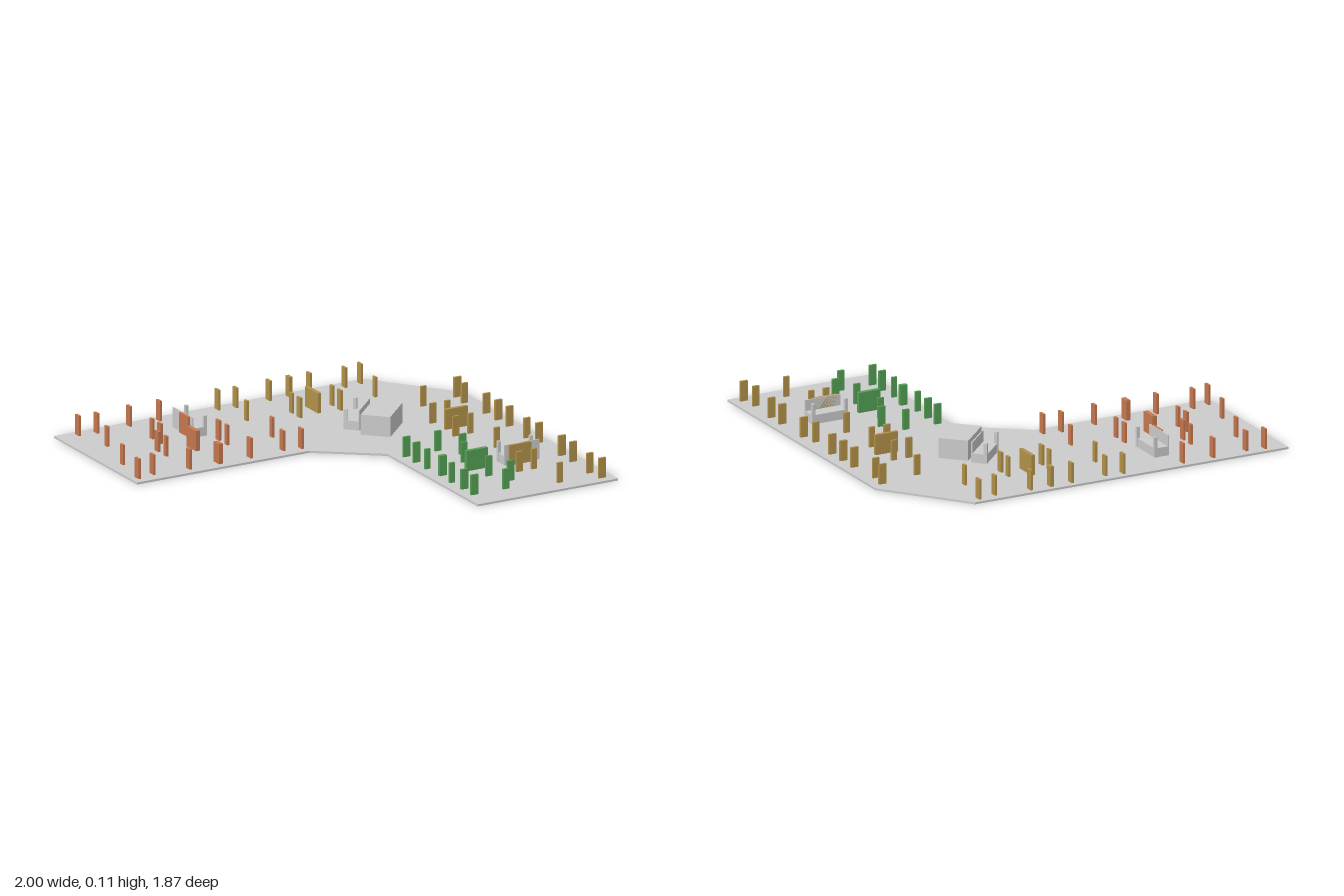
import * as THREE from 'three';

const BASE = 0.01, TOP = 0.11;
const mat = (color) => new THREE.MeshStandardMaterial({ color, flatShading: true });

export function createModel() {
  const root = new THREE.Group();
  const grey = mat(0xcccccc), orange = mat(0xc8784f), gold = mat(0xb3934a), green = mat(0x55a055);

  // box standing from y0 to y1
  function box(parent, name, m, x, z, w, d, y0 = BASE, y1 = TOP) {
    const mesh = new THREE.Mesh(new THREE.BoxGeometry(w, y1 - y0, d), m);
    mesh.position.set(x, (y0 + y1) / 2, z);
    mesh.name = name;
    parent.add(mesh);
  }

  // floor plate: angled corner outline
  const outline = [[-1, -0.935], [0.685, -0.935], [1, -0.53], [1, 0.935], [0.235, 0.935],
    [0.235, 0.08], [-0.065, -0.145], [-1, -0.145]];
  const shape = new THREE.Shape(outline.map(([x, z]) => new THREE.Vector2(x, -z)));
  const floorGeo = new THREE.ExtrudeGeometry(shape, { depth: BASE, bevelEnabled: false });
  floorGeo.rotateX(-Math.PI / 2);
  const floor = new THREE.Mesh(floorGeo, grey);
  floor.name = 'floor';
  root.add(floor);

  // rows of posts: [z, depth along z, x positions]
  const postGroup = (name) => {
    const g = new THREE.Group();
    g.name = name;
    root.add(g);
    return g;
  };
  const orangePosts = postGroup('orangePosts');
  const orangeRows = [
    [-0.89, 0.037, [-0.893, -0.615, -0.453]],
    [-0.877, 0.034, [-0.8]],
    [-0.683, 0.027, [-0.855]],
    [-0.673, 0.027, [-0.615]],
    [-0.598, 0.034, [-0.615]],
    [-0.5, 0.034, [-0.685, -0.353]],
    [-0.42, 0.027, [-0.685, -0.353]],
    [-0.413, 0.027, [-0.925, -0.112]],
    [-0.203, 0.037, [-0.963, -0.685, -0.353, -0.075]],
    [-0.22, 0.037, [-0.872, -0.166]],
  ];
  for (const [z, d, xs] of orangeRows) for (const x of xs) box(orangePosts, 'orangePost', orange, x, z, 0.012, d);
  box(orangePosts, 'orangePanel', orange, -0.453, -0.645, 0.014, 0.085);
  box(orangePosts, 'orangePanel', orange, -0.52, -0.45, 0.022, 0.09);
  box(orangePosts, 'orangePanel', orange, -0.52, -0.21, 0.022, 0.05);

  const goldPosts = postGroup('goldPosts');
  const goldBackRows = [
    [-0.89, 0.037, [-0.133, 0.145, 0.365, 0.642]],
    [-0.877, 0.034, [-0.043, 0.55]],
    [-0.683, 0.027, [-0.096, 0.604]],
    [-0.673, 0.027, [0.145, 0.365]],
    [-0.598, 0.034, [0.145, 0.365]],
  ];
  for (const [z, d, xs] of goldBackRows) for (const x of xs) box(goldPosts, 'goldPost', gold, x, z, 0.012, d);
  box(goldPosts, 'goldPanel', gold, 0.255, -0.89, 0.018, 0.037);
  box(goldPosts, 'goldPanel', gold, 0.255, -0.66, 0.018, 0.12);

  // side rows: [x, width along x, z positions]
  const goldSideRows = [
    [0.94, 0.038, [-0.487, -0.21, 0.008, 0.289, 0.61, 0.885]],
    [0.925, 0.033, [-0.393, 0.198, 0.794]],
    [0.733, 0.03, [-0.449, 0.249, 0.845]],
    [0.647, 0.033, [-0.21, -0.012 + 0.02, 0.61]],
    [0.727, 0.028, [-0.21, 0.008, 0.61]],
  ];
  for (const [x, w, zs] of goldSideRows) for (const z of zs) box(goldPosts, 'goldPost', gold, x, z, w, 0.012);
  for (const z of [-0.1, 0.505]) {
    box(goldPosts, 'goldPanel', gold, 0.71, z, 0.12, 0.018);
    box(goldPosts, 'goldPost', gold, 0.94, z, 0.038, 0.014);
  }

  // green posts, mirrored about their middle row
  const greenPosts = postGroup('greenPosts');
  const mid = 0.477;
  const greenHalf = [[0.294, 0.322, 0.037], [0.465, 0.322, 0.033], [0.294, 0.227, 0.037],
    [0.545, 0.227, 0.037], [0.29, 0.117, 0.028], [0.49, 0.117, 0.033]];
  for (const [x, dz, w] of greenHalf)
    for (const s of [-1, 1]) box(greenPosts, 'greenPost', green, x, mid + s * dz, w, 0.012);
  box(greenPosts, 'greenPanel', green, 0.305, mid, 0.037, 0.022);
  box(greenPosts, 'greenPanel', green, 0.49, mid, 0.115, 0.022);

  // counter: low body, tall back panel and two front corner posts
  function counter(x, z, turn) {
    const g = new THREE.Group();
    g.name = 'counter';
    box(g, 'counterBody', grey, 0, 0, 0.188, 0.076, BASE, 0.055);
    box(g, 'counterBack', grey, 0, 0.036, 0.19, 0.006);
    for (const s of [-1, 1]) box(g, 'counterPost', grey, s * 0.087, -0.031, 0.016, 0.016);
    g.position.set(x, 0, z);
    g.rotation.y = turn;
    root.add(g);
  }
  counter(0.725, 0.463, 0);
  counter(-0.409, -0.675, -Math.PI / 2);
  counter(0.33, -0.377, Math.PI / 4);

  // central block set diagonally
  const block = new THREE.Group();
  block.name = 'centralBlock';
  box(block, 'blockBody', grey, 0, 0, 0.225, 0.145);
  block.position.set(0.397, 0, -0.258);
  block.rotation.y = Math.PI / 4;
  root.add(block);

  return root;
}
